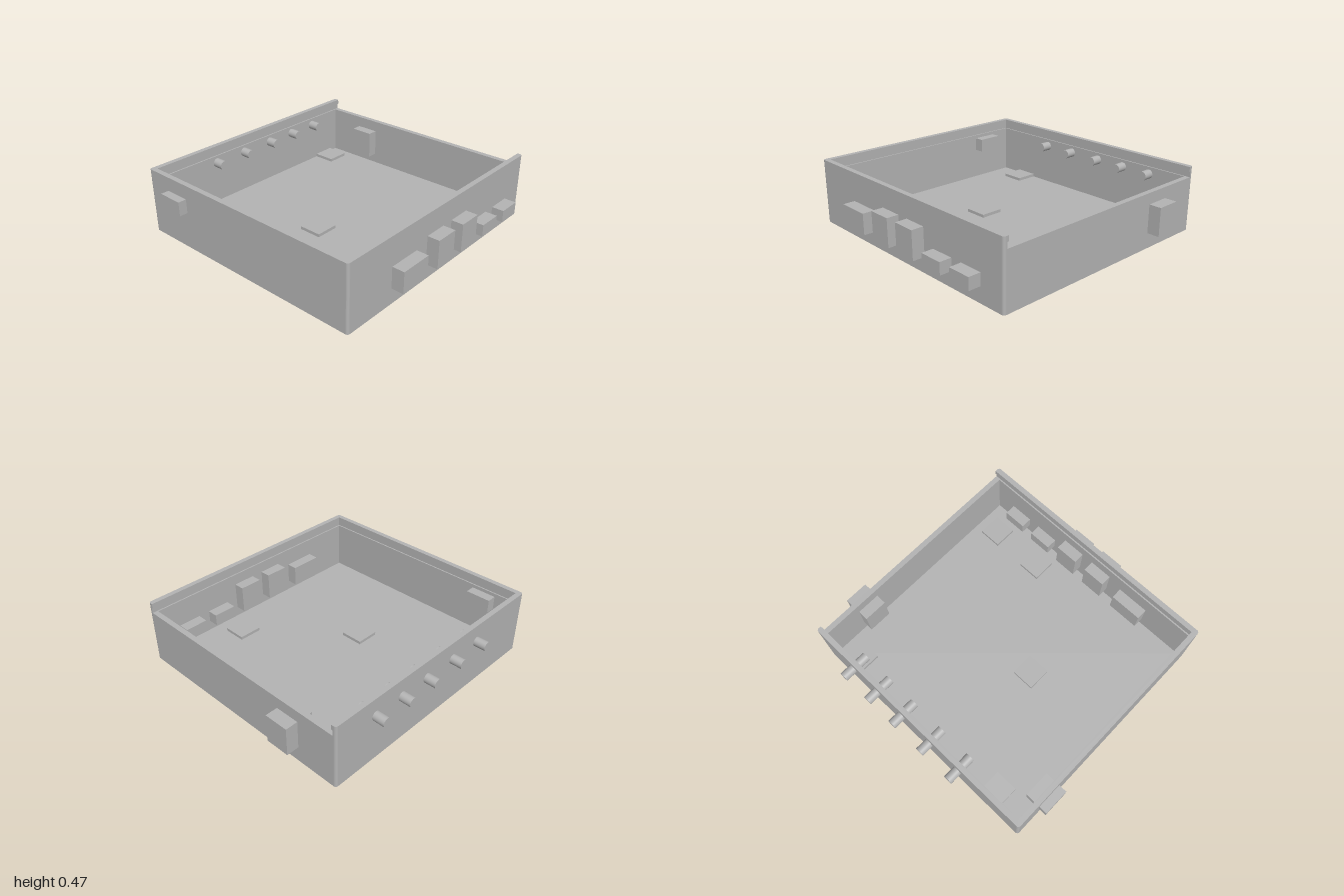
import * as THREE from 'three';

// Outer footprint of the case and wall positions
const X0 = -0.941, X1 = 0.912, Z = 0.877, R = 0.018;
const INNER_X0 = -0.904, INNER_X1 = 0.874, INNER_Z = 0.84;
const FLOOR = 0.037, RAIL_LOW = 0.39, RAIL_HIGH = 0.43, TOP = 0.465;

export function createModel() {
  const group = new THREE.Group();
  const grey = new THREE.MeshStandardMaterial({ color: 0xb3b3b3 });
  grey.name = 'plain grey';

  const add = (name, geometry) => {
    const mesh = new THREE.Mesh(geometry, grey);
    mesh.name = name;
    group.add(mesh);
    return mesh;
  };

  // Box given by its limits on each axis
  const addBox = (name, x0, x1, y0, y1, z0, z1) => {
    add(name, new THREE.BoxGeometry(x1 - x0, y1 - y0, z1 - z0))
      .position.set((x0 + x1) / 2, (y0 + y1) / 2, (z0 + z1) / 2);
  };

  // Horizontal layer: a plan outline extruded from y0 to y1
  const addLayer = (name, shape, y0, y1) => {
    const geometry = new THREE.ExtrudeGeometry(shape, {
      depth: y1 - y0, bevelEnabled: false, curveSegments: 5,
    });
    geometry.rotateX(-Math.PI / 2);
    geometry.translate(0, y0, 0);
    add(name, geometry);
  };

  // Rounded footprint; with an inset it becomes a U that is open towards +x
  const footprint = (inner) => {
    const s = new THREE.Shape();
    s.moveTo(X0 + R, -Z);
    s.lineTo(X1 - R, -Z);
    s.absarc(X1 - R, -Z + R, R, -Math.PI / 2, 0, false);
    if (inner) {
      s.lineTo(X1, -inner.z);
      s.lineTo(inner.x, -inner.z);
      s.lineTo(inner.x, inner.z);
      s.lineTo(X1, inner.z);
    }
    s.lineTo(X1, Z - R);
    s.absarc(X1 - R, Z - R, R, 0, Math.PI / 2, false);
    s.lineTo(X0 + R, Z);
    s.absarc(X0 + R, Z - R, R, Math.PI / 2, Math.PI, false);
    s.lineTo(X0, -Z + R);
    s.absarc(X0 + R, -Z + R, R, Math.PI, Math.PI * 1.5, false);
    return s;
  };

  // Case: floor, four walls, then a sliding-lid groove on three sides
  addLayer('floor', footprint(), 0, FLOOR);
  const walls = footprint();
  const hole = new THREE.Path();
  hole.moveTo(INNER_X0, -INNER_Z);
  hole.lineTo(INNER_X0, INNER_Z);
  hole.lineTo(INNER_X1, INNER_Z);
  hole.lineTo(INNER_X1, -INNER_Z);
  hole.closePath();
  walls.holes.push(hole);
  addLayer('walls', walls, FLOOR, RAIL_LOW);
  addLayer('lidGroove', footprint({ x: INNER_X0 - 0.01, z: INNER_Z + 0.01 }), RAIL_LOW, RAIL_HIGH);
  addLayer('lidLip', footprint({ x: INNER_X0, z: INNER_Z }), RAIL_HIGH, TOP);

  // Front connectors: x limits and top height
  [
    [-0.556, -0.32, 0.26],
    [-0.214, -0.045, 0.31],
    [0.043, 0.211, 0.31],
    [0.30, 0.47, 0.195],
    [0.556, 0.724, 0.195],
  ].forEach(([x0, x1, y1]) => addBox('frontConnector', x0, x1, 0.11, y1, 0.76, 0.963));

  // Side connectors
  addBox('leftConnector', 0.797, 1.0, 0.11, 0.31, -0.572, -0.40);
  addBox('rightConnector', -1.0, -0.832, 0.265, 0.365, -0.685, -0.50);

  // Round pins through the back wall
  for (const x of [-0.405, -0.147, 0.115, 0.35, 0.584]) {
    const pin = new THREE.CylinderGeometry(0.033, 0.033, 0.203, 32);
    pin.rotateX(Math.PI / 2);
    add('backPin', pin).position.set(x, 0.338, -0.8615);
  }

  // Flat pads on the floor
  for (const [x, z] of [[-0.648, -0.758], [0.721, -0.758], [-0.24, 0], [0.315, 0.655], [0.721, 0.655]]) {
    addBox('floorPad', x - 0.084, x + 0.084, FLOOR, FLOOR + 0.022, z - 0.084, z + 0.084);
  }

  return group;
}
